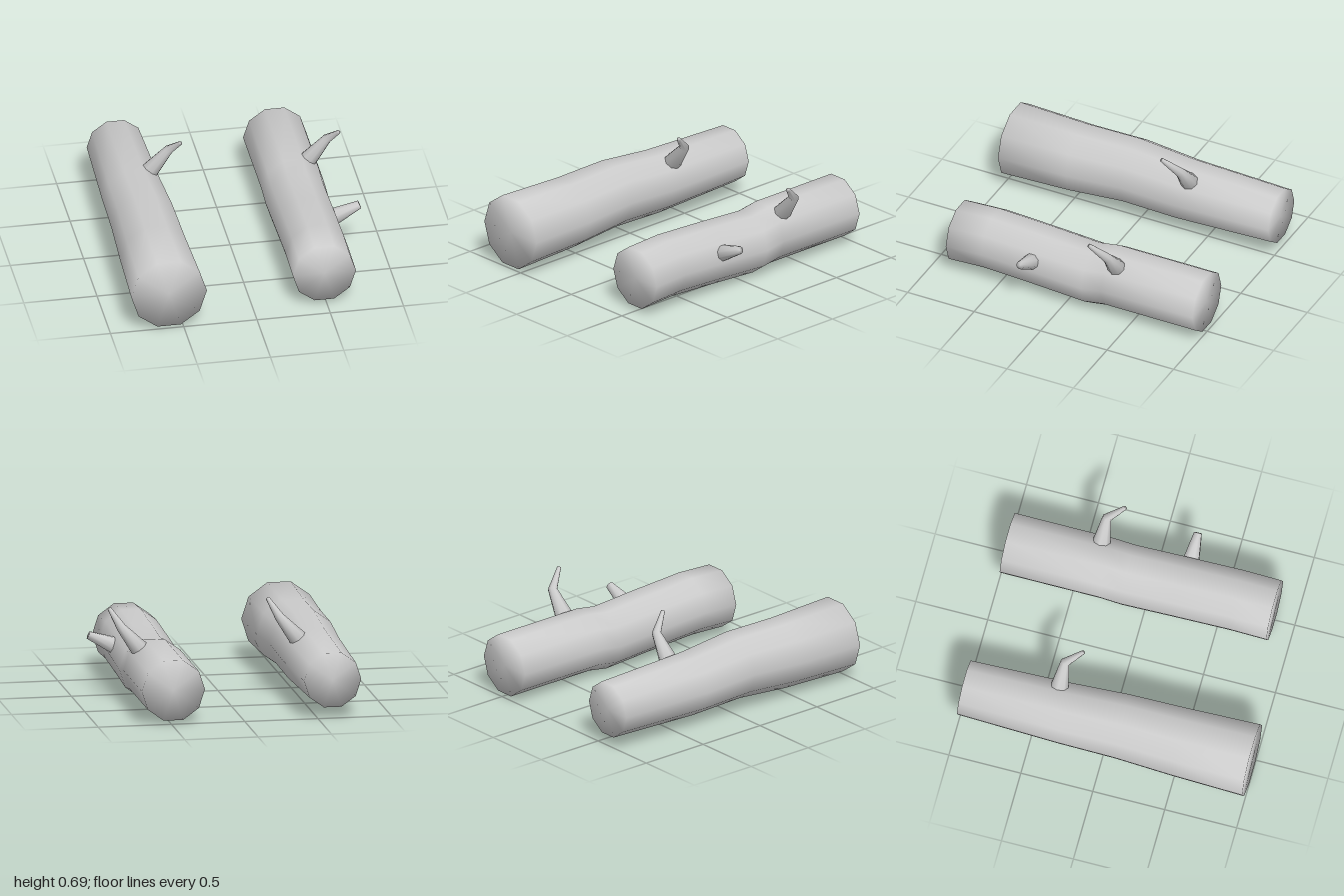
import * as THREE from 'three';

const material = new THREE.MeshStandardMaterial({ color: 0xcccccc });

// Closed, smooth-shaded loft through rings of [x, y, z, radius];
// every ring faces dirs[k].
function loft(name, rings, dirs, sides) {
  const pos = [], index = [];
  const zAxis = new THREE.Vector3(0, 0, 1);
  rings.forEach(([x, y, z, r], k) => {
    const q = new THREE.Quaternion().setFromUnitVectors(zAxis, dirs[k].clone().normalize());
    for (let i = 0; i < sides; i++) {
      const a = (i / sides) * Math.PI * 2;
      const p = new THREE.Vector3(r * Math.cos(a), r * Math.sin(a), 0).applyQuaternion(q);
      pos.push(x + p.x, y + p.y, z + p.z);
    }
  });
  const last = (rings.length - 1) * sides;
  const startCentre = last + sides, endCentre = startCentre + 1;
  pos.push(...rings[0].slice(0, 3), ...rings[rings.length - 1].slice(0, 3));
  for (let i = 0; i < sides; i++) {
    const j = (i + 1) % sides;
    for (let o = 0; o < last; o += sides) {
      index.push(o + i, o + j, o + sides + j, o + i, o + sides + j, o + sides + i);
    }
    index.push(startCentre, j, i, endCentre, last + i, last + j);
  }
  const geometry = new THREE.BufferGeometry();
  geometry.setAttribute('position', new THREE.Float32BufferAttribute(pos, 3));
  geometry.setIndex(index);
  geometry.computeVertexNormals();
  const mesh = new THREE.Mesh(geometry, material);
  mesh.name = name;
  return mesh;
}

// Ten-sided trunk along z from [z, centre height, radius] stations
function trunk(name, x, stations) {
  const rings = stations.map(([z, y, r]) => [x, y, z, r]);
  return loft(name, rings, rings.map(() => new THREE.Vector3(0, 0, 1)), 10);
}

// Tapering branch; each ring faces along the path at that point
function branch(name, rings) {
  const pts = rings.map((r) => new THREE.Vector3(r[0], r[1], r[2]));
  const dirs = pts.map((p, k) => {
    const d = new THREE.Vector3();
    if (k > 0) d.add(p.clone().sub(pts[k - 1]).normalize());
    if (k < pts.length - 1) d.add(pts[k + 1].clone().sub(p).normalize());
    return d;
  });
  return loft(name, rings, dirs, 8);
}

// Bent branch shared by both logs
function bentBranch(name, x, y) {
  return branch(name, [
    [x, y, -0.37, 0.062],
    [x + 0.125, y + 0.15, -0.365, 0.033],
    [x + 0.187, y + 0.26, -0.255, 0.014],
  ]);
}

export function createModel() {
  const model = new THREE.Group();
  model.name = 'logs';

  // Long tapering log
  const longLog = new THREE.Group();
  longLog.name = 'longLog';
  longLog.add(
    trunk('longTrunk', -0.6, [
      [-1, 0.265, 0.195],
      [-0.3, 0.264, 0.217],
      [0.1, 0.29, 0.23],
      [0.5, 0.269, 0.243],
      [1, 0.269, 0.258],
    ]),
    bentBranch('longLogBranch', -0.48, 0.42),
  );

  // Shorter log of even thickness
  const shortLog = new THREE.Group();
  shortLog.name = 'shortLog';
  shortLog.add(
    trunk('shortTrunk', 0.485, [
      [-0.99, 0.233, 0.215],
      [-0.3, 0.233, 0.215],
      [-0.15, 0.208, 0.215],
      [0.2, 0.23, 0.215],
      [0.6, 0.25, 0.215],
      [0.865, 0.236, 0.215],
    ]),
    bentBranch('shortLogBranch', 0.6, 0.39),
    branch('sideStub', [
      [0.65, 0.285, 0.235, 0.061],
      [0.84, 0.367, 0.235, 0.028],
    ]),
  );

  model.add(longLog, shortLog);
  return model;
}
